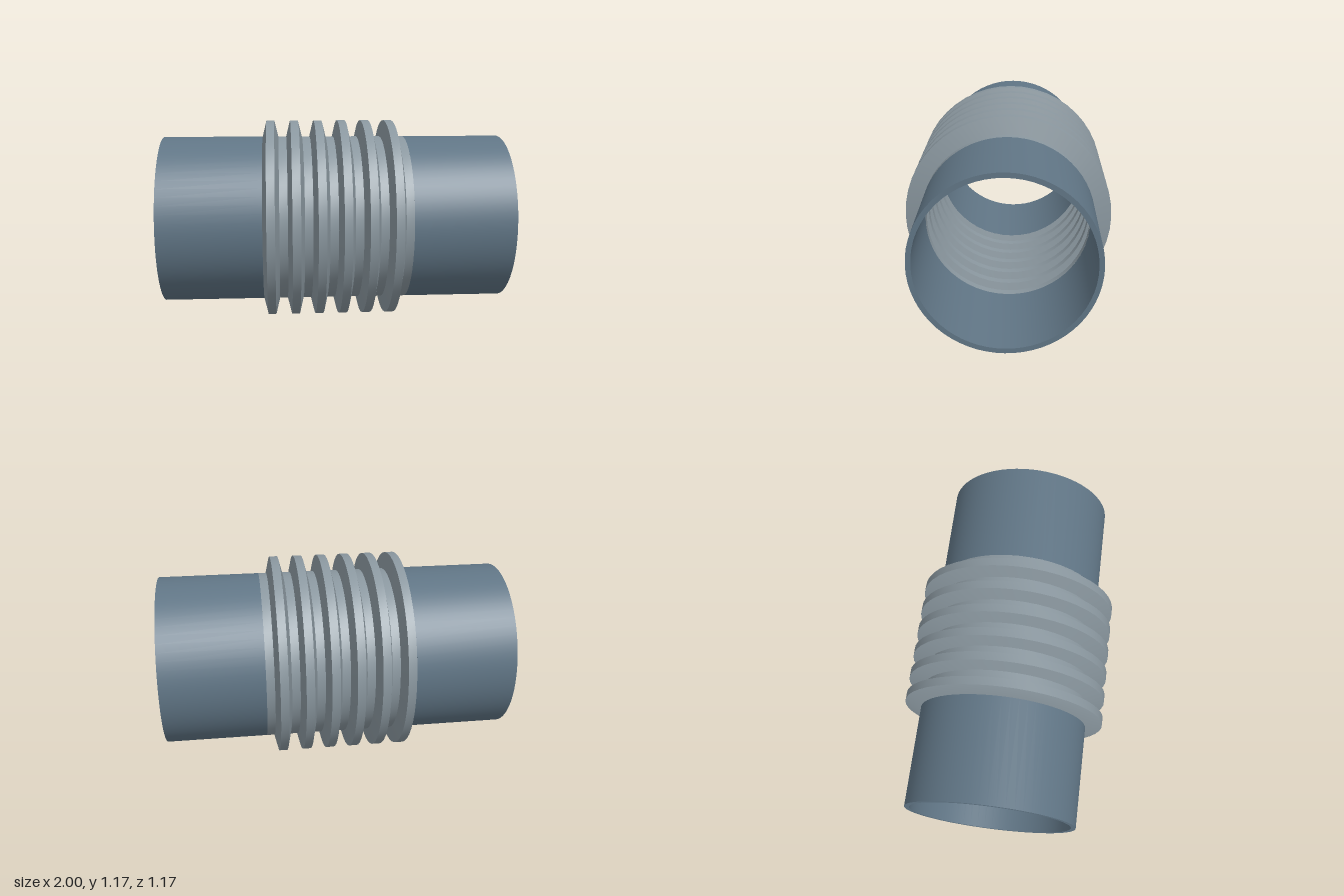
import * as THREE from 'three';
import { toCreasedNormals } from 'three/addons/utils/BufferGeometryUtils.js';

const AXIS_Y = 0.584;
const OUTER = 0.488, INNER = 0.461, CREST = 0.584;
const HALF = 0.42, RINGS = 6;

// Revolve a closed [x, radius] profile around the x axis
function revolve(name, profile, segments, color) {
  const points = [...profile, profile[0]].map(([x, r]) => new THREE.Vector2(r, x));
  const geometry = toCreasedNormals(new THREE.LatheGeometry(points, segments), 0.5);
  geometry.rotateZ(-Math.PI / 2);
  const material = new THREE.MeshStandardMaterial({ color });
  const mesh = new THREE.Mesh(geometry, material);
  mesh.name = name;
  mesh.position.y = AXIS_Y;
  return mesh;
}

// Straight pipe with a thin wall
function pipe(name, x0, x1) {
  return revolve(name, [[x0, OUTER], [x1, OUTER], [x1, INNER], [x0, INNER]], 64, 0x607585);
}

// Corrugated sleeve: trapezoid crests separated by flat roots, hollow inside
function bellows() {
  const pitch = (2 * HALF) / RINGS;
  const outer = [], inner = [];
  const wall = OUTER - INNER;
  for (let i = 0; i < RINGS; i++) {
    const x = -HALF + i * pitch;
    outer.push(
      [x, OUTER],
      [x + pitch / 6, CREST],
      [x + pitch / 2, CREST],
      [x + (pitch * 2) / 3, OUTER]
    );
  }
  outer.push([HALF, OUTER]);
  for (const [x, r] of outer) inner.unshift([x, r - wall]);
  return revolve('bellows', [...outer, ...inner], 48, 0x8a979f);
}

export function createModel() {
  const group = new THREE.Group();
  group.name = 'bellowsPipe';
  group.add(pipe('rightPipe', -1, -HALF), bellows(), pipe('leftPipe', HALF, 1));
  return group;
}
